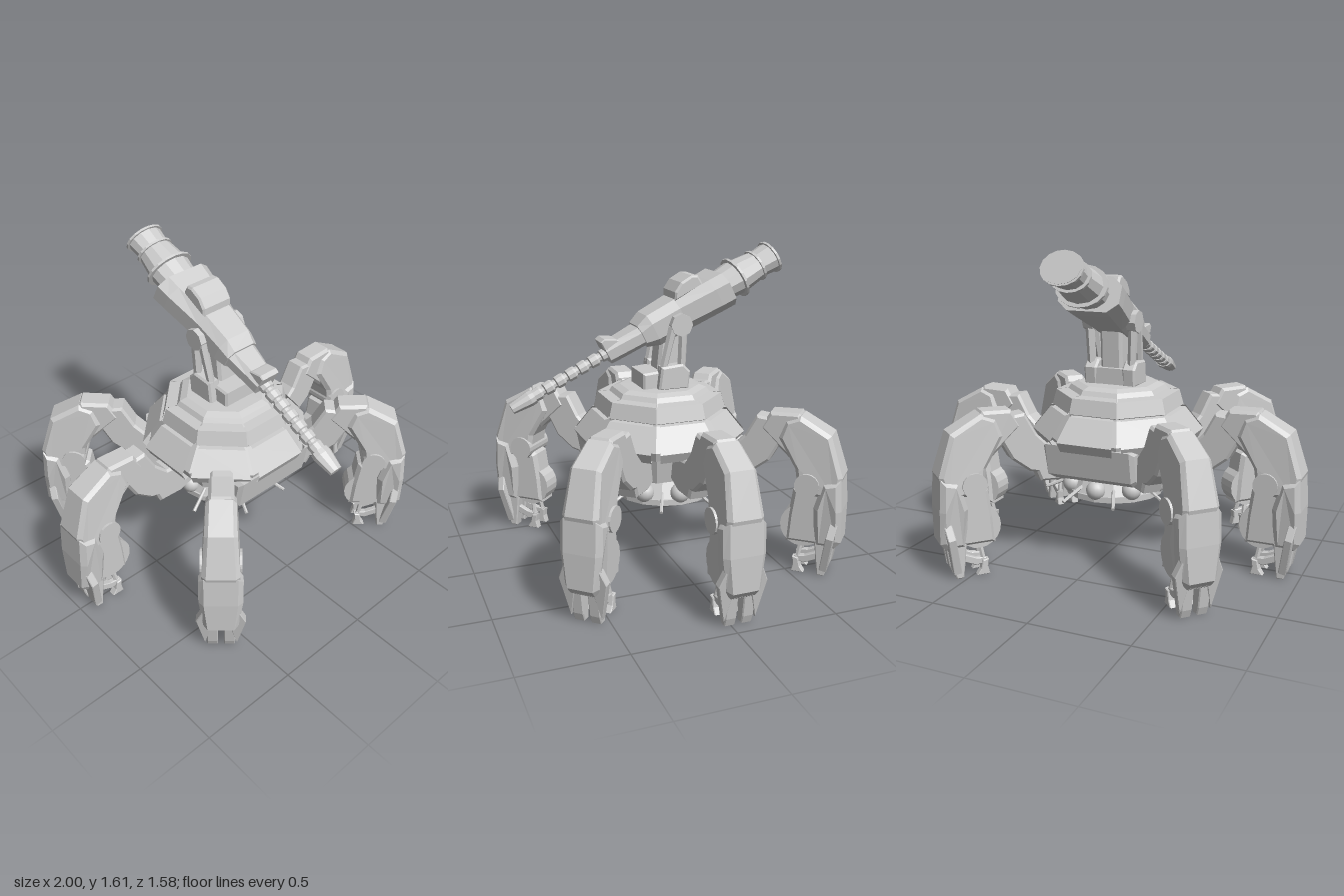
import * as THREE from 'three';

const flat = new THREE.MeshStandardMaterial({ color: 0xcccccc, flatShading: true });
const shell = new THREE.MeshStandardMaterial({ color: 0xcccccc, flatShading: true, side: THREE.DoubleSide });
const smooth = new THREE.MeshStandardMaterial({ color: 0xcccccc });
const TAU = Math.PI * 2;

function add(parent, name, geo, mat = flat, pos = [0, 0, 0]) {
  const m = new THREE.Mesh(geo, mat);
  m.name = name;
  m.position.set(...pos);
  parent.add(m);
  return m;
}

// Chamfered plate: outline in x,y, centred thickness along z
function plate(pts, width, bevel = 0.012) {
  const g = new THREE.ExtrudeGeometry(new THREE.Shape(pts.map(p => new THREE.Vector2(...p))), {
    depth: width - 2 * bevel, bevelEnabled: bevel > 0, bevelSegments: 1,
    bevelSize: bevel, bevelThickness: bevel, bevelOffset: -bevel,
  });
  return g.translate(0, 0, bevel - width / 2);
}

// Same, with the outline in z,y and the thickness along x
const sidePlate = (pts, width, bevel) => plate(pts, width, bevel).rotateY(-Math.PI / 2);

// Scales the thickness from s0 at height y0 to s1 at height y1
function taper(geo, y0, s0, y1, s1) {
  const p = geo.attributes.position;
  for (let i = 0; i < p.count; i++) {
    const t = THREE.MathUtils.clamp((p.getY(i) - y0) / (y1 - y0), 0, 1);
    p.setZ(i, p.getZ(i) * THREE.MathUtils.lerp(s0, s1, t));
  }
  geo.computeVertexNormals();
  return geo;
}

// Straight rod between two points
function rod(a, b, r1, r2 = r1, sides = 6) {
  const va = new THREE.Vector3(...a), d = new THREE.Vector3(...b).sub(va);
  const g = new THREE.CylinderGeometry(r2, r1, d.length(), sides).translate(0, d.length() / 2, 0);
  g.applyQuaternion(new THREE.Quaternion().setFromUnitVectors(new THREE.Vector3(0, 1, 0), d.normalize()));
  return g.translate(...a);
}

// Octagonal lathe with flats facing the axes; profile holds [apothem, y]
const octLathe = (pts, start = Math.PI / 8, arc = TAU, segs = 8) => new THREE.LatheGeometry(
  pts.map(([r, y]) => new THREE.Vector2(r / Math.cos(Math.PI / 8), y)), segs, start, arc);

// Chamfered box section swept along z; each section is [z, halfWidth, halfHeight]
function loft(sections) {
  const ring = [[1, 0.5], [0.65, 1], [-0.65, 1], [-1, 0.5], [-1, -0.5], [-0.65, -1], [0.65, -1], [1, -0.5]];
  const pos = [], idx = [], n = ring.length, last = (sections.length - 1) * n;
  for (const [z, w, h] of sections) for (const [a, b] of ring) pos.push(a * w, b * h, z);
  for (let i = 0; i < last; i += n) for (let j = 0; j < n; j++) {
    const k = (j + 1) % n;
    idx.push(i + j, i + k, i + n + k, i + j, i + n + k, i + n + j);
  }
  for (let j = 1; j < n - 1; j++) idx.push(0, j + 1, j, last, last + j, last + j + 1);
  const g = new THREE.BufferGeometry();
  g.setAttribute('position', new THREE.Float32BufferAttribute(pos, 3));
  g.setIndex(idx);
  g.computeVertexNormals();
  return g;
}

function createBody() {
  const g = new THREE.Group();
  g.name = 'body';
  add(g, 'core', octLathe([[0, 0.455], [0.25, 0.455], [0.28, 0.6], [0.37, 0.615], [0.385, 0.66],
    [0.3, 0.77], [0.28, 0.85], [0, 0.865]]), shell);
  // Armour wedges with grooves between them
  for (let i = 0; i < 8; i++) {
    const arc = 0.68, start = i * TAU / 8 - arc / 2;
    add(g, 'lowerArmour', octLathe([[0.27, 0.595], [0.385, 0.61], [0.41, 0.66], [0.325, 0.775], [0.27, 0.78]], start, arc, 1), shell);
    add(g, 'upperArmour', octLathe([[0.27, 0.765], [0.315, 0.785], [0.295, 0.862], [0.2, 0.87]], start - 0.04, arc + 0.08, 1), shell);
  }
  add(g, 'topCollar', octLathe([[0.25, 0.85], [0.225, 0.89], [0.19, 0.905], [0, 0.91]]), shell);
  // Front and back skirts
  for (const s of [1, -1]) {
    const skirt = sidePlate([[0.15, 0.64], [0.39, 0.64], [0.36, 0.48], [0.33, 0.455], [0.15, 0.455]], 0.49, 0.02);
    add(g, 'skirt', skirt).rotation.y = s > 0 ? 0 : Math.PI;
  }
  // Belly drum with ball sensors and probes
  const belly = new THREE.Group();
  belly.name = 'belly';
  belly.position.set(0.01, 0, -0.022);
  g.add(belly);
  add(belly, 'bellyDrum', new THREE.CylinderGeometry(0.2, 0.25, 0.1, 16), flat, [0, 0.41, 0]);
  add(belly, 'bellyDisc', new THREE.CylinderGeometry(0.26, 0.26, 0.03, 16), flat, [0, 0.345, 0]);
  for (let i = 0; i < 8; i++) {
    const a = i * TAU / 8, b = a + TAU / 16;
    add(belly, 'sensorBall', new THREE.SphereGeometry(0.05, 16, 12), smooth, [0.235 * Math.cos(a), 0.387, 0.235 * Math.sin(a)]);
    add(belly, 'probe', rod([0.2 * Math.cos(b), 0.4, 0.2 * Math.sin(b)], [0.36 * Math.cos(b), 0.335, 0.36 * Math.sin(b)], 0.009));
  }
  return g;
}

// One leg, reaching out along +x
function createLeg() {
  const g = new THREE.Group();
  g.name = 'leg';
  add(g, 'hipLink', plate([[0.24, 0.47], [0.34, 0.435], [0.47, 0.44], [0.49, 0.49], [0.53, 0.5], [0.62, 0.57], [0.68, 0.68],
    [0.64, 0.79], [0.55, 0.8], [0.49, 0.69], [0.42, 0.62], [0.24, 0.6]], 0.11));
  add(g, 'kneeCrest', plate([[0.57, 0.74], [0.62, 0.825], [0.765, 0.83], [0.85, 0.7], [0.72, 0.6]], 0.12, 0.015));
  add(g, 'thighShell', taper(plate([[0.67, 0.7], [0.7, 0.79], [0.775, 0.82], [0.93, 0.735], [0.995, 0.53],
    [0.97, 0.42], [0.78, 0.42], [0.76, 0.55]], 0.17, 0.02), 0.82, 0.82, 0.5, 1.08));
  add(g, 'kneeJoint', new THREE.CylinderGeometry(0.062, 0.062, 0.2, 18).rotateX(Math.PI / 2), flat, [0.825, 0.477, 0]);
  add(g, 'shin', plate([[0.99, 0.5], [0.99, 0.2], [0.975, 0.16], [0.72, 0.16], [0.73, 0.3], [0.75, 0.44], [0.8, 0.47]], 0.14, 0.02));
  add(g, 'shinShell', taper(plate([[0.99, 0.52], [1, 0.36], [1, 0.19], [0.97, 0.155], [0.87, 0.155], [0.86, 0.36], [0.9, 0.5]],
    0.21, 0.025), 0.36, 1, 0.155, 0.75));
  add(g, 'calfDrum', new THREE.CylinderGeometry(0.11, 0.11, 0.11, 20).rotateX(Math.PI / 2), flat, [0.8, 0.25, 0]);
  // Flared ankle guard, leaning outwards
  const guard = sidePlate([[-0.085, 0.31], [-0.12, 0.225], [-0.078, 0.03], [-0.05, 0.15],
    [0.05, 0.15], [0.078, 0.03], [0.12, 0.225], [0.085, 0.31]], 0.04, 0.004);
  add(g, 'ankleGuard', guard, flat, [0.915, 0, 0]).rotation.z = -0.17;
  // Heels and claws
  for (const s of [1, -1]) {
    add(g, 'heel', plate([[0.87, 0.18], [0.96, 0.18], [0.94, 0.04], [0.925, 0], [0.89, 0], [0.88, 0.08]], 0.055, 0.005), flat, [0, 0, 0.042 * s]);
    add(g, 'clawArm', plate([[0.89, 0.12], [0.89, 0.08], [0.82, 0.05], [0.77, 0.06], [0.77, 0.085], [0.82, 0.09]], 0.03, 0.004), flat, [0, 0, 0.04 * s]);
    add(g, 'claw', plate([[0.76, 0.08], [0.79, 0.075], [0.8, 0.03], [0.82, 0], [0.755, 0], [0.765, 0.04]], 0.04, 0.004), flat, [0, 0, 0.045 * s]);
    add(g, 'clawPiston', rod([0.8, 0.18, 0.03 * s], [0.78, 0.06, 0.045 * s], 0.013));
  }
  return g;
}

function createTurret() {
  const g = new THREE.Group();
  g.name = 'turret';
  add(g, 'turretBase', sidePlate([[0.12, 0.89], [0.12, 0.985], [0, 0.995], [-0.11, 0.99], [-0.11, 0.89]], 0.2, 0.01));
  add(g, 'neck', sidePlate([[0.03, 0.98], [0.01, 1.17], [-0.1, 1.2], [-0.09, 0.98]], 0.12, 0.015));
  for (const s of [1, -1]) {
    add(g, 'bracket', sidePlate([[0.05, 0.9], [0.035, 1.02], [-0.08, 1.03], [-0.12, 0.99], [-0.11, 0.9]], 0.07, 0.01), flat, [0.105 * s, 0, 0]);
    add(g, 'frontStrut', rod([0.11 * s, 1, 0.02], [0.12 * s, 1.22, -0.03], 0.02, 0.024));
    add(g, 'rearStrut', rod([0.11 * s, 1, -0.08], [0.12 * s, 1.22, -0.085], 0.022, 0.024));
    add(g, 'pivot', new THREE.CylinderGeometry(0.058, 0.058, 0.05, 8).rotateZ(Math.PI / 2), flat, [0.12 * s, 1.23, -0.07]);
  }

  // Tilted gun, muzzle along local +z
  const gun = new THREE.Group();
  gun.name = 'gun';
  gun.position.y = 1.225;
  gun.rotation.x = 0.461;
  g.add(gun);
  add(gun, 'housing', loft([[-0.375, 0.16, 0.09], [-0.3, 0.15, 0.09], [-0.1, 0.115, 0.088], [0.06, 0.105, 0.085], [0.125, 0.095, 0.06]]));
  add(gun, 'receiver', loft([[0.1, 0.09, 0.05], [0.25, 0.07, 0.05], [0.32, 0.062, 0.048]]));
  add(gun, 'sight', sidePlate([[0.22, 0.03], [0.25, 0.055], [0.3, 0.085], [0.325, 0.08], [0.325, 0.03]], 0.11, 0.005));
  add(gun, 'topBox', sidePlate([[-0.1, 0.08], [-0.12, 0.12], [-0.17, 0.148], [-0.235, 0.152], [-0.265, 0.135], [-0.27, 0.08]], 0.18, 0.01));
  // Turned parts along the gun axis: [z, radius]
  const turned = (name, pts, sides, wide) => add(gun, name,
    new THREE.LatheGeometry(pts.map(([z, r]) => new THREE.Vector2(r, z)), sides).rotateX(Math.PI / 2).scale(wide, 1, 1), shell);
  turned('rearTank', [[-0.695, 0], [-0.695, 0.078], [-0.6, 0.07], [-0.59, 0.075], [-0.47, 0.09], [-0.36, 0.08], [-0.36, 0]], 12, 1.27);
  for (const [z, r] of [[-0.468, 0.107], [-0.595, 0.083], [-0.687, 0.086]])
    turned('tankRing', [[z - 0.006, r - 0.03], [z - 0.006, r], [z + 0.006, r], [z + 0.006, r - 0.03]], 16, 1.27);
  const ribs = [[0.3, 0]];
  for (let i = 0; i < 7; i++) {
    const z = 0.3 + i * 0.065;
    ribs.push([z, 0.03], [z + 0.01, 0.034], [z + 0.045, 0.032], [z + 0.05, 0.023], [z + 0.065, 0.023]);
  }
  turned('barrel', ribs, 10, 1.2);
  turned('muzzle', [[0.735, 0], [0.735, 0.036], [0.76, 0.038], [0.86, 0.026], [0.86, 0]], 10, 1.4);
  return g;
}

export function createModel() {
  const model = new THREE.Group();
  model.name = 'walker';
  model.add(createBody(), createTurret());
  // Angle of each leg and how far it sits inwards
  for (const [deg, inset] of [[-1, 0], [42.5, 0.018], [132.5, 0.018], [180, 0], [223.3, 0.032], [311.6, 0.032]]) {
    const leg = createLeg(), a = deg * Math.PI / 180;
    leg.position.set(-inset * Math.cos(a), 0, -0.02 - inset * Math.sin(a));
    leg.rotation.y = -a;
    model.add(leg);
  }
  return model;
}
